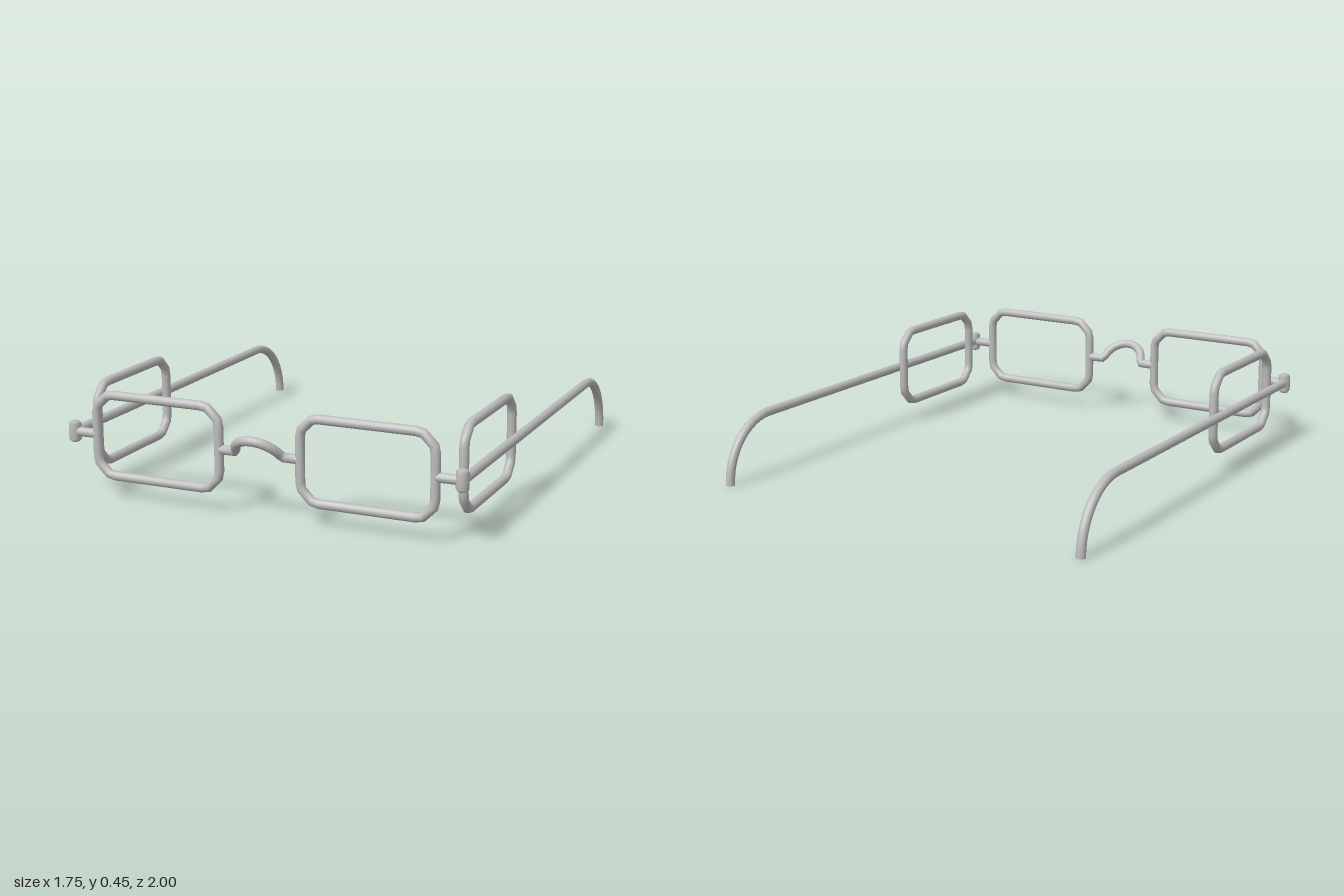
import * as THREE from 'three';

const R = 0.0195; // wire radius
const metal = new THREE.MeshStandardMaterial({ color: 0xbcbcbc });
metal.name = 'light grey metal';
const V = (x, y, z) => new THREE.Vector3(x, y, z);

// Curve that visits each listed point once, with mitred tangents at the bends
class WirePath extends THREE.Curve {
  constructor(points, closed) {
    super();
    this.points = closed ? [...points, points[0]] : points;
    this.closed = closed;
  }
  getPointAt(u) {
    return this.points[Math.round(u * (this.points.length - 1))].clone();
  }
  getTangentAt(u) {
    const p = this.points, n = p.length - 1, i = Math.round(u * n);
    const dir = (k) => p[k + 1].clone().sub(p[k]).normalize();
    const before = i > 0 ? dir(i - 1) : this.closed ? dir(n - 1) : dir(0);
    const after = i < n ? dir(i) : this.closed ? dir(0) : dir(n - 1);
    return before.add(after).normalize();
  }
}

function wire(name, points, closed = false) {
  const path = new WirePath(points, closed);
  const geometry = new THREE.TubeGeometry(path, path.points.length - 1, R, 16, closed);
  const mesh = new THREE.Mesh(geometry, metal);
  mesh.name = name;
  return mesh;
}

// Rectangular wire loop with softly chamfered corners, in the xy plane
function rim(name) {
  const w = 0.281, h = 0.17, r = 0.08, points = [];
  const corners = [[1, 1], [-1, 1], [-1, -1], [1, -1]];
  corners.forEach(([sx, sy], k) => {
    for (const t of [0, 0.25, 0.75, 1]) {
      const a = (k + t) * Math.PI / 2;
      points.push(V(sx * (w - r) + r * Math.cos(a), sy * (h - r) + r * Math.sin(a), 0));
    }
  });
  return wire(name, points, true);
}

export function createModel() {
  const model = new THREE.Group();
  model.name = 'spectacles';
  const midY = 0.263, frontZ = 0.909;

  // Nose bridge: half circle tilted forward, with short straight feet
  const bridge = [V(-0.17, midY, frontZ), V(-0.108, midY, frontZ)];
  for (let i = 1; i < 16; i++) {
    const a = Math.PI * (1 - i / 16), lift = 0.071 * Math.sin(a);
    bridge.push(V(0.098 * Math.cos(a), midY + lift, frontZ + lift));
  }
  bridge.push(V(0.108, midY, frontZ), V(0.17, midY, frontZ));
  model.add(wire('noseBridge', bridge));

  for (const [side, s] of [['left', 1], ['right', -1]]) {
    // Front and side rims
    const front = rim(side + 'FrontRim');
    front.position.set(s * 0.459, midY, frontZ);
    const shield = rim(side + 'SideRim');
    shield.rotation.y = Math.PI / 2;
    shield.position.set(s * 0.81, midY, 0.511);

    // Link from rim to hinge
    const link = wire(side + 'HingeLink', [V(s * 0.74, midY, frontZ), V(s * 0.85, midY, frontZ)]);

    // Hinge barrel with bevelled ends
    const profile = [[0, -0.043], [0.017, -0.043], [0.026, -0.033],
      [0.026, 0.033], [0.017, 0.043], [0, 0.043]].map(([x, y]) => new THREE.Vector2(x, y));
    const hinge = new THREE.Mesh(new THREE.LatheGeometry(profile, 16), metal);
    hinge.name = side + 'Hinge';
    hinge.position.set(s * 0.848, midY, frontZ);

    // Temple arm, curling down to the ear
    const arm = [V(s * 0.848, midY, frontZ)];
    for (let i = 0; i <= 12; i++) {
      const a = i / 12 * Math.PI / 2;
      arm.push(V(s * 0.848, midY * Math.cos(a), -0.718 - 0.263 * Math.sin(a)));
    }
    const tip = new THREE.Mesh(new THREE.CircleGeometry(R, 16), metal);
    tip.name = side + 'ArmTip';
    tip.rotation.x = Math.PI / 2;
    tip.position.set(s * 0.848, 0, -0.981);

    model.add(front, shield, link, hinge, wire(side + 'TempleArm', arm), tip);
  }
  return model;
}
